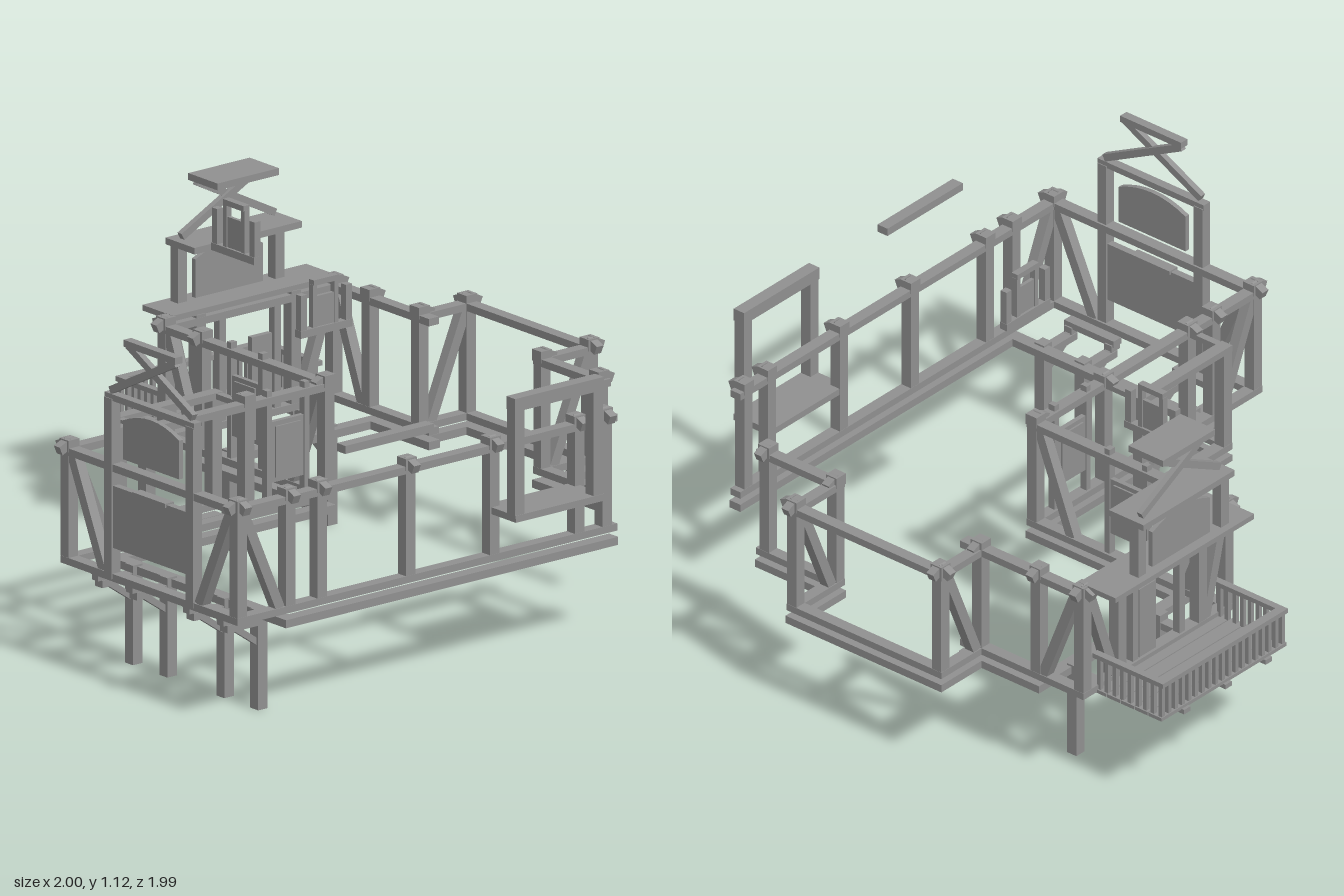
import * as THREE from 'three';

const mat = new THREE.MeshStandardMaterial({ color: 0x909090, flatShading: true });

export function createModel() {
  const root = new THREE.Group();

  const add = (parent, name, geo) => {
    const m = new THREE.Mesh(geo, mat);
    m.name = name;
    parent.add(m);
    return m;
  };
  // Axis-aligned box from its limits
  const box = (name, x0, x1, y0, y1, z0, z1, parent = root) => {
    const m = add(parent, name, new THREE.BoxGeometry(x1 - x0, y1 - y0, z1 - z0));
    m.position.set((x0 + x1) / 2, (y0 + y1) / 2, (z0 + z1) / 2);
    return m;
  };
  // Slanted beam between two points: w is its level width, h its height
  const beam = (name, a, b, w = 0.03, h = 0.03, parent = root) => {
    const p = new THREE.Vector3(...a), q = new THREE.Vector3(...b);
    const m = add(parent, name, new THREE.BoxGeometry(w, h, p.distanceTo(q)));
    m.position.copy(p).add(q).multiplyScalar(0.5);
    const dir = q.sub(p).normalize();
    const side = new THREE.Vector3(0, 1, 0).cross(dir).normalize();
    m.quaternion.setFromRotationMatrix(new THREE.Matrix4().makeBasis(side, dir.clone().cross(side), dir));
    return m;
  };
  // Beam along x or z between two plan points
  const rail = (name, x0, z0, x1, z1, y0, y1, w = 0.044) => {
    const h = w / 2;
    box(name, Math.min(x0, x1) - h, Math.max(x0, x1) + h, y0, y1, Math.min(z0, z1) - h, Math.max(z0, z1) + h);
  };
  const post = (x, z, y0 = 0.34, y1 = 0.72, w = 0.038) => rail('post', x, z, x, z, y0, y1, w);

  // Upper-storey wall runs: top rail, sill
  const walls = [
    [0.054, 0.94, 0.862, 0.94], [0.054, -0.085, 0.054, 0.94], [-0.71, -0.085, 0.054, -0.085],
    [-0.71, -0.755, -0.71, -0.085], [-0.71, -0.755, -0.25, -0.755], [-0.298, -0.945, -0.298, -0.755],
    [-0.298, -0.945, 0.288, -0.945], [0.288, -0.945, 0.288, -0.755], [0.288, -0.755, 0.575, -0.755],
    [0.862, -0.54, 0.862, 0.94],
  ];
  for (const w of walls) {
    rail('topRail', ...w, 0.686, 0.71, 0.04);
    rail('sillRail', ...w, 0.334, 0.357, 0.04);
  }
  // Lower-storey beams, set back under the overhangs
  for (const w of [
    [0.054, 0.745, 0.862, 0.745], [0.054, -0.085, 0.054, 0.745], [-0.53, -0.085, 0.054, -0.085],
    [-0.53, -0.755, -0.53, -0.085], [-0.53, -0.755, -0.25, -0.755], [-0.298, -0.945, -0.298, -0.755],
    [-0.298, -0.945, 0.288, -0.945], [0.288, -0.945, 0.288, -0.755], [0.288, -0.755, 0.575, -0.755],
    [0.862, -0.54, 0.862, 0.745],
  ]) rail('lowerBeam', ...w, 0.288, 0.314);

  // Posts with an outward stub: [x, z, outward x, outward z]
  for (const [x, z, ox, oz] of [
    [0.054, 0.94, -1, 1], [0.862, 0.94, 1, 1], [0.054, 0.745, -1, 0], [0.862, 0.745, 1, 0],
    [0.862, 0.62, 1, 0], [0.862, 0.265, 1, 0], [0.862, -0.07, 1, 0], [0.862, -0.41, 1, 0], [0.862, -0.52, 1, 0],
    [0.054, 0.63, -1, 0], [0.054, 0.235, -1, 0], [0.054, -0.085, 0, 1],
    [-0.71, -0.085, -1, 1], [-0.535, -0.085, 0, 1], [-0.71, -0.755, -1, -1], [-0.535, -0.755, 0, -1],
    [-0.298, -0.755, 0, -1], [-0.298, -0.945, -1, -1], [0.288, -0.945, 1, -1], [0.288, -0.755, 0, -1],
    [0.562, -0.755, 0, -1],
  ]) {
    post(x, z);
    box('postCap', x - 0.022, x + 0.022, 0.698, 0.735, z - 0.022, z + 0.022);
    for (const [dx, dz] of [[ox, 0], [0, oz]]) {
      if (!dx && !dz) continue;
      beam('rafterStub', [x, 0.724, z], [x + dx * 0.045, 0.704, z + dz * 0.045], 0.028, 0.03);
    }
  }
  post(-0.71, -0.21);
  post(-0.71, -0.59);

  // Diagonal wall braces, top end first
  for (const [x0, z0, x1, z1] of [
    [0.08, 0.94, 0.23, 0.94], [0.84, 0.94, 0.69, 0.94], [0.862, 0.93, 0.862, 0.785], [0.054, 0.93, 0.054, 0.785],
    [0.03, -0.085, -0.1, -0.085], [-0.69, -0.085, -0.56, -0.085], [-0.69, -0.755, -0.56, -0.755],
    [-0.71, -0.735, -0.71, -0.62], [-0.71, -0.105, -0.71, -0.19],
    [-0.298, -0.93, -0.298, -0.79], [0.288, -0.93, 0.288, -0.79],
  ]) beam('wallBrace', [x0, 0.69, z0], [x1, 0.355, z1], 0.034, 0.034);

  // Shuttered windows in the inner walls
  const shutter = (x, z, turn) => {
    const g = new THREE.Group();
    g.name = 'shutteredWindow';
    g.position.set(x, 0, z);
    g.rotation.y = turn;
    for (const s of [-1, 1]) box('windowPost', s * 0.075 - 0.01, s * 0.075 + 0.01, 0.35, 0.73, -0.012, 0.012, g);
    box('shutter', -0.07, 0.07, 0.43, 0.625, -0.008, 0.008, g);
    box('shutterPanel', -0.05, 0.05, 0.445, 0.61, -0.014, 0.014, g);
    root.add(g);
  };
  shutter(-0.32, -0.085, 0);
  shutter(0.054, 0.075, -Math.PI / 2);

  // Small dormer windows above the inner walls
  const dormer = (x, z, turn) => {
    const g = new THREE.Group();
    g.name = 'dormerWindow';
    g.position.set(x, 0, z);
    g.rotation.y = turn;
    box('sill', -0.103, 0.103, 0.943, 0.967, -0.014, 0.014, g);
    box('pane', -0.045, 0.045, 0.96, 1.065, -0.006, 0.006, g);
    box('lintel', -0.05, 0.05, 1.102, 1.12, -0.012, 0.012, g);
    for (const s of [-1, 1]) {
      box('sidePost', s * 0.09 - 0.012, s * 0.09 + 0.012, 0.96, 1.08, -0.012, 0.012, g);
      box('jamb', s * 0.043 - 0.008, s * 0.043 + 0.008, 0.96, 1.105, -0.01, 0.01, g);
    }
    root.add(g);
  };
  dormer(-0.53, -0.215, 0);
  dormer(0.227, 0.067, -Math.PI / 2);

  // Gable frames with crossed braces and an arched panel
  const gable = (x, z, turn, postBase, back, front) => {
    const g = new THREE.Group();
    g.name = 'gable';
    g.position.set(x, 0, z);
    g.rotation.y = turn;
    for (const s of [-1, 1]) {
      box('gablePost', s * 0.195 - 0.018, s * 0.195 + 0.018, postBase, 0.92, -0.018, 0.018, g);
      beam('crossBrace', [-s * 0.19, 0.945, s * 0.005], [s * 0.12, 1.105, s * 0.005], 0.02, 0.024, g);
    }
    box('tieBoard', -0.215, 0.215, 0.914, 0.935, back, front, g);
    box('peakBoard', -0.123, 0.123, 1.102, 1.124, back, front, g);
    const s = new THREE.Shape();
    s.moveTo(-0.135, 0.735);
    s.lineTo(0.135, 0.735);
    s.lineTo(0.135, 0.86);
    s.quadraticCurveTo(0, 0.925, -0.135, 0.86);
    const arch = add(g, 'archedPanel', new THREE.ExtrudeGeometry(s, { depth: 0.016, bevelEnabled: false, curveSegments: 8 }));
    arch.position.z = -0.008;
    root.add(g);
    return g;
  };
  const frontGable = gable(0.46, 0.945, 0, 0.34, -0.015, 0.015);
  box('lowerPanel', -0.21, 0.21, 0.44, 0.64, -0.012, 0.012, frontGable);
  box('panelLedge', -0.08, 0.08, 0.632, 0.645, -0.018, 0.018, frontGable);
  gable(-0.8, -0.405, -Math.PI / 2, 0.73, -0.1, 0.04);
  box('gableBaseBoard', -0.842, -0.695, 0.718, 0.736, -0.755, -0.1);

  // Balcony door
  box('door', -0.72, -0.7, 0.35, 0.6, -0.5, -0.42);
  for (const z of [-0.52, -0.3]) post(-0.71, z, 0.34, 0.7, 0.026);

  // Balcony: planks, joists, railing
  for (let i = 0; i < 5; i++) box('balconyPlank', -0.99 + i * 0.056, -0.938 + i * 0.056, 0.33, 0.342, -0.71, -0.12);
  for (const z of [-0.6, -0.405, -0.215]) box('balconyJoist', -1, -0.7, 0.316, 0.332, z - 0.015, z + 0.015);
  box('balconyHandrail', -0.995, -0.965, 0.45, 0.466, -0.71, -0.12);
  for (let i = 0; i <= 18; i++) {
    const z = -0.698 + i * 0.0315;
    box('baluster', -0.987, -0.973, 0.34, 0.455, z - 0.007, z + 0.007);
  }
  for (const z of [-0.698, -0.132]) {
    box('balconySideRail', -0.99, -0.71, 0.45, 0.466, z - 0.012, z + 0.012);
    for (let i = 1; i <= 8; i++) box('baluster', -0.987 + i * 0.031, -0.973 + i * 0.031, 0.34, 0.455, z - 0.007, z + 0.007);
  }

  // Legs with bracket and strut under the left wing
  for (const z of [-0.605, -0.21]) {
    post(-0.553, z, 0, 0.32);
    box('bracketArm', -0.7, -0.54, 0.272, 0.296, z - 0.018, z + 0.018);
    box('bracketBlock', -0.72, -0.66, 0.296, 0.336, z - 0.015, z + 0.015);
    beam('bracketStrut', [-0.675, 0.293, z], [-0.555, 0.21, z], 0.02, 0.02);
  }
  // Legs with bracket and strut under the front overhang
  for (const x of [0.152, 0.317, 0.59, 0.752]) {
    post(x, 0.765, 0, 0.32);
    box('bracketArm', x - 0.018, x + 0.018, 0.272, 0.296, 0.745, 0.905);
    box('bracketBlock', x - 0.015, x + 0.015, 0.296, 0.32, 0.88, 0.92);
    beam('bracketStrut', [x, 0.293, 0.888], [x, 0.21, 0.768], 0.02, 0.02);
  }
  for (const x of [0.235, 0.671]) box('bracketBeam', x - 0.1, x + 0.1, 0.314, 0.336, 0.885, 0.922);

  // Left bay frame
  for (const [y0, y1] of [[0.292, 0.314], [0.334, 0.357], [0.686, 0.708]]) {
    box('leftBayRail', -0.115, -0.073, y0, y1, 0.218, 0.645);
    for (const z of [0.235, 0.63]) box('leftBayArm', -0.1, 0.05, y0 + 0.002, y1 - 0.002, z - 0.012, z + 0.012);
  }
  for (const z of [0.24, 0.625]) post(-0.095, z, 0.35, 0.69);

  // Right bay: floor slab and tall frame
  box('rightBayFloor', 0.845, 0.997, 0.488, 0.51, -0.412, -0.058);
  for (const z of [-0.075, -0.39]) post(0.976, z, 0.5, 0.865);
  box('rightBayTop', 0.955, 0.997, 0.845, 0.887, -0.41, -0.055);

  // Loose roof beam outside the right wall
  box('eaveBeam', 0.958, 0.998, 0.848, 0.874, 0.27, 0.625);

  return root;
}
